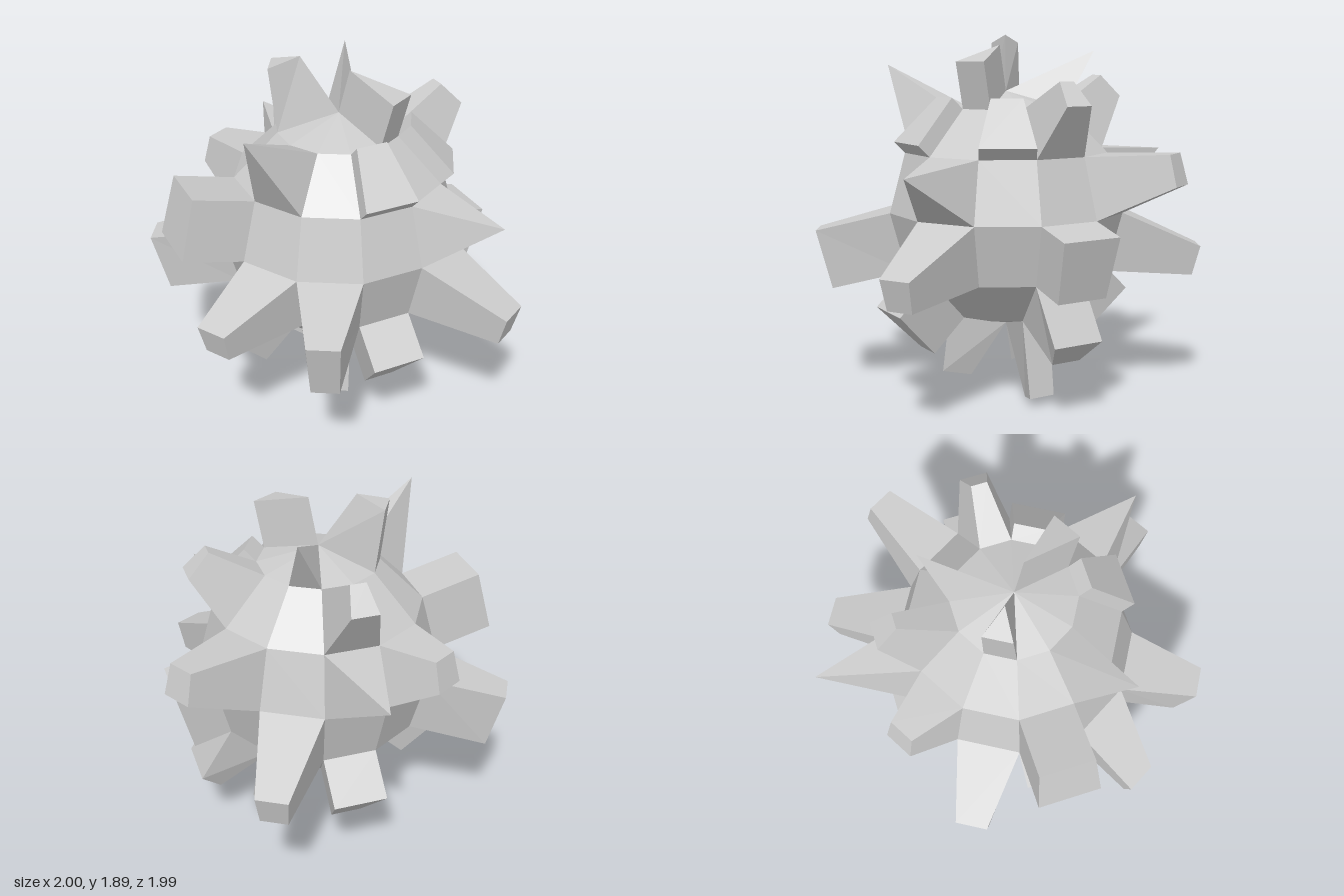
import * as THREE from 'three';

const R = 0.62;
const CENTER = new THREE.Vector3(-0.03, 0.985, 0.02);
const material = new THREE.MeshStandardMaterial({ color: 0xcccccc, flatShading: true });

// Lower latitude of each 30 degree band of ball facets, top to bottom
const BANDS = { cap: 60, high: 30, upper: 0, lower: -30, low: -60, base: -90 };

// [band, column counted from the front towards +x, length, width scale, height scale, sideways shift, upward shift]
const STUDS = [
  ['cap', 2, 0.245, 1, 1],
  ['cap', 6, 0.32, 0, 0, 0, -0.177],
  ['cap', 9, 0.33, 0.9, 0.5],
  ['high', 1, 0.085, 1, 1],
  ['high', 3, 0.085, 1, 1],
  ['high', 4, 0.29, 0.5, 0.5],
  ['high', 7, 0.31, 0.5, 0.5],
  ['high', 11, 0.47, 0, 0],
  ['upper', 2, 0.4, 0, 0],
  ['upper', 5, 0.41, 0.5, 0.5],
  ['upper', 7, 0.48, 0, 0],
  ['upper', 8, 0.27, 0.5, 0.5],
  ['upper', 10, 0.32, 1, 1],
  ['lower', 0, 0.41, 0.5, 1],
  ['lower', 2, 0.47, 0.5, 0.5],
  ['lower', 4, 0.2, 1, 1],
  ['lower', 6, 0.46, 0.5, 0.5],
  ['lower', 9, 0.41, 0.5, 1],
  ['lower', 11, 0.4, 0.5, 0.5, -0.08, 0],
  ['low', 1, 0.24, 1, 1],
  ['low', 4, 0.31, 1, 0.5],
  ['low', 7, 0.25, 1, 1],
  ['low', 10, 0.24, 1, 1],
  ['base', 0, 0.33, 0.9, 0.5],
  ['base', 4, 0.4, 0.9, 0.55],
  ['base', 8, 0.235, 1, 1],
];

function ballPoint(latDeg, angDeg) {
  const lat = THREE.MathUtils.degToRad(latDeg);
  const ang = THREE.MathUtils.degToRad(angDeg);
  const r = R * Math.cos(lat);
  return new THREE.Vector3(r * Math.sin(ang), R * Math.sin(lat), r * Math.cos(ang)).add(CENTER);
}

// Corners of one facet, counter-clockwise from outside; triangles at the poles
function facet(band, column) {
  const lat = BANDS[band], a = column * 30, b = a + 30;
  const ring = [];
  ring.push(ballPoint(lat, a));
  if (band !== 'base') ring.push(ballPoint(lat, b));
  ring.push(ballPoint(lat + 30, b));
  if (band !== 'cap') ring.push(ballPoint(lat + 30, a));
  return ring;
}

// Facet pulled outwards along its normal, with the end scaled in its own plane
function studGeometry(band, column, length, su, sv, du = 0, dv = 0) {
  const ring = facet(band, column);
  const mid = ring.reduce((s, p) => s.add(p), new THREE.Vector3()).divideScalar(ring.length);
  const ang = THREE.MathUtils.degToRad(column * 30 + 15);
  const u = new THREE.Vector3(Math.cos(ang), 0, -Math.sin(ang));
  const n = ring[1].clone().sub(ring[0]).cross(ring[2].clone().sub(ring[0])).normalize();
  const v = n.clone().cross(u);
  const end = ring.map((p) => {
    const d = p.clone().sub(mid);
    return mid.clone().addScaledVector(n, length)
      .addScaledVector(u, d.dot(u) * su + du)
      .addScaledVector(v, d.dot(v) * sv + dv);
  });
  const points = [];
  const count = ring.length;
  for (let i = 0; i < count; i++) {
    const j = (i + 1) % count;
    points.push(ring[i], ring[j], end[j]);
    if (su > 0) points.push(ring[i], end[j], end[i]);
  }
  if (su > 0) {
    for (let i = 1; i < count - 1; i++) points.push(end[0], end[i], end[i + 1]);
  }
  const geometry = new THREE.BufferGeometry().setFromPoints(points);
  geometry.computeVertexNormals();
  return geometry;
}

export function createModel() {
  const model = new THREE.Group();
  model.name = 'spikyBall';

  // Faceted core
  const core = new THREE.Mesh(new THREE.SphereGeometry(R, 12, 6), material);
  core.name = 'core';
  core.position.copy(CENTER);
  model.add(core);

  // Studs and pointed spikes
  for (const stud of STUDS) {
    const mesh = new THREE.Mesh(studGeometry(...stud), material);
    mesh.name = `${stud[0]}${stud[3] > 0 ? 'Stud' : 'Spike'}${stud[1]}`;
    model.add(mesh);
  }
  return model;
}
